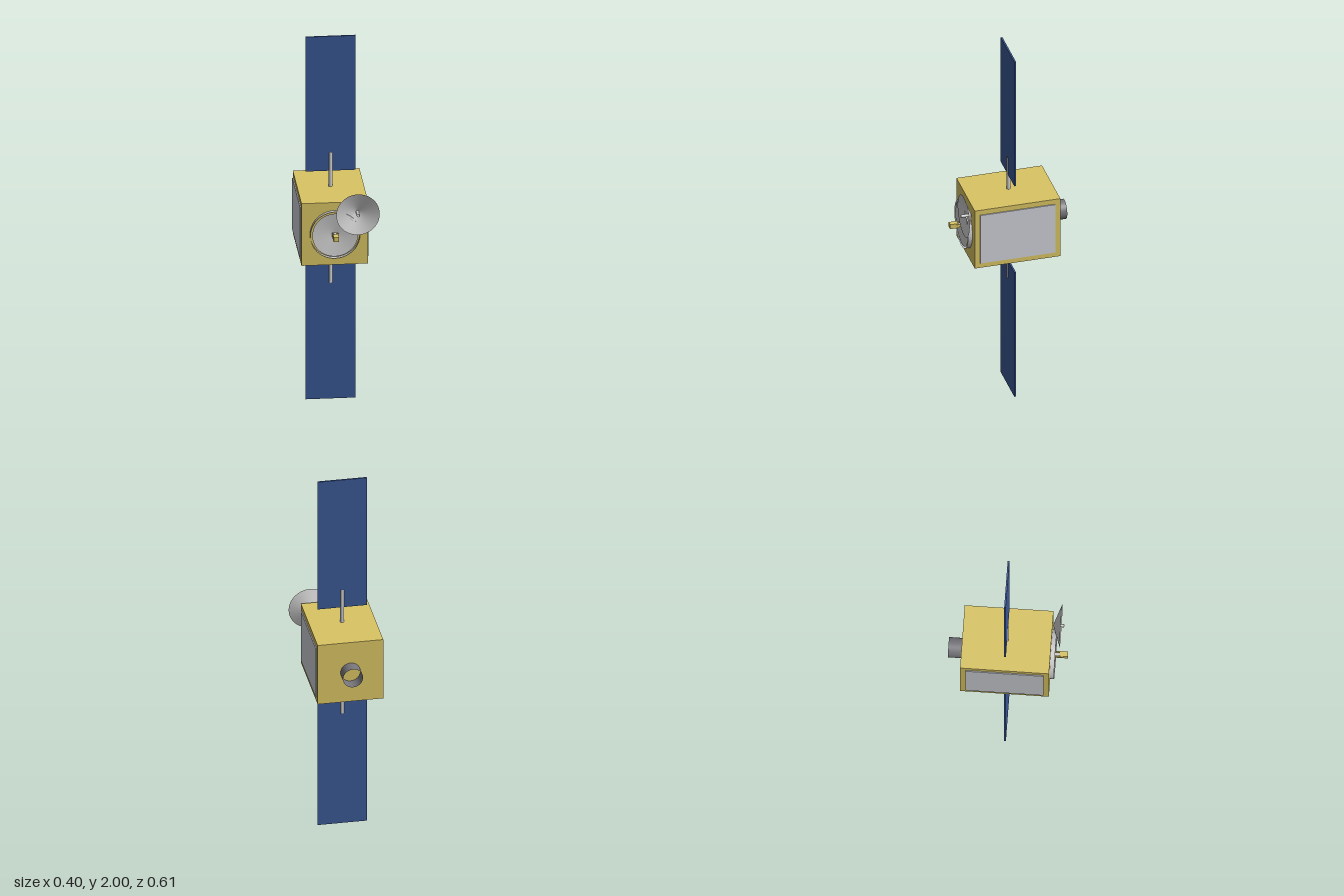
import * as THREE from 'three';

const CX = -0.027, CY = 1.0, CZ = -0.009; // centre of the body

const material = (color, side = THREE.FrontSide) =>
  new THREE.MeshStandardMaterial({ color, side });

export function createModel() {
  const model = new THREE.Group();
  model.name = 'satellite';

  const gold = material(0xd9c464);
  const blue = material(0x3a5794);
  const radiatorGrey = material(0xcdd0d6);
  const grey = material(0xcccccc, THREE.DoubleSide);
  const darkGrey = material(0x77767c, THREE.DoubleSide);

  const add = (name, geometry, mat, x, y, z) => {
    const mesh = new THREE.Mesh(geometry, mat);
    mesh.name = name;
    mesh.position.set(x, y, z);
    model.add(mesh);
    return mesh;
  };
  const box = (name, w, h, d, mat, x, y, z) =>
    add(name, new THREE.BoxGeometry(w, h, d), mat, x, y, z);

  // Open tube running along z from z0 to z1
  const tubeZ = (name, r, z0, z1, mat, x, y) => {
    const geometry = new THREE.CylinderGeometry(r, r, z1 - z0, 40, 1, true);
    geometry.rotateX(Math.PI / 2);
    return add(name, geometry, mat, x, y, (z0 + z1) / 2);
  };

  // Shallow cone dish opening towards +z
  const dish = (name, r, z0, z1, x, y) => {
    const geometry = new THREE.LatheGeometry(
      [new THREE.Vector2(0, 0), new THREE.Vector2(r, z1 - z0)], 48);
    geometry.rotateX(Math.PI / 2);
    return add(name, geometry, grey, x, y, z0);
  };

  // Main body
  box('body', 0.343, 0.343, 0.456, gold, CX, CY, CZ);

  // Side radiators
  for (const s of [-1, 1]) {
    box(s > 0 ? 'leftRadiator' : 'rightRadiator', 0.01, 0.286, 0.4,
      radiatorGrey, CX + s * 0.172, CY, CZ);
  }

  // Solar wings and their open tubular masts, above and below
  for (const s of [-1, 1]) {
    const end = s > 0 ? 'upper' : 'lower';
    box(end + 'SolarPanel', 0.256, 0.742, 0.009, blue, CX, CY + s * 0.629, CZ);
    add(end + 'Mast', new THREE.CylinderGeometry(0.01, 0.01, 0.19, 20, 1, true),
      grey, CX, CY + s * 0.265, CZ);
  }

  // Large front antenna: collar, recessed dish and feed
  tubeZ('antennaCollar', 0.128, 0.219, 0.242, grey, CX, CY);
  dish('mainDish', 0.118, 0.222, 0.239, CX, CY);
  tubeZ('mainFeedPost', 0.009, 0.222, 0.283, grey, CX, CY);
  box('mainFeedHorn', 0.028, 0.026, 0.044, gold, CX, CY, 0.283);
  for (const s of [-1, 1]) {
    box('mainFeedBracket', 0.005, 0.016, 0.06, gold, CX + s * 0.0135, CY, 0.253);
  }

  // Small offset antenna
  dish('smallDish', 0.112, 0.221, 0.262, 0.088, 1.117);
  tubeZ('smallDishFeed', 0.008, 0.223, 0.278, grey, 0.088, 1.117);

  // Rear thruster nozzle
  tubeZ('nozzle', 0.052, -0.308, -0.237, darkGrey, CX, CY);

  return model;
}
